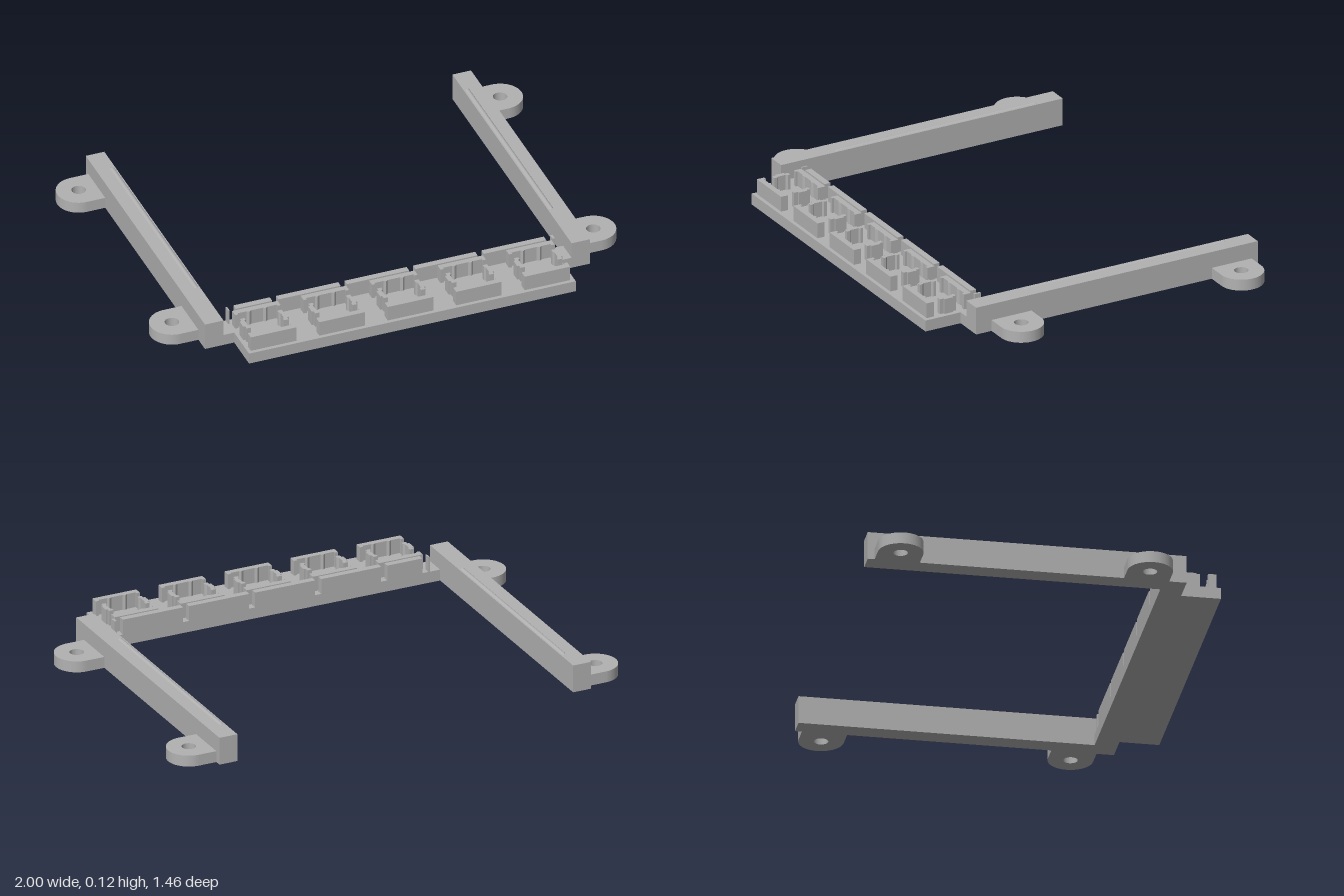
import * as THREE from 'three';

export function createModel() {
  const group = new THREE.Group();
  const grey = new THREE.MeshStandardMaterial({ color: 0xb2b2b2 });
  grey.name = 'plain grey';

  const plateTop = 0.048, clipTop = 0.113, railTop = 0.118;

  function add(name, geometry, parent = group) {
    const mesh = new THREE.Mesh(geometry, grey);
    mesh.name = name;
    parent.add(mesh);
    return mesh;
  }

  // Box given by its limits on each axis
  function block(name, x0, x1, y0, y1, z0, z1) {
    const mesh = add(name, new THREE.BoxGeometry(x1 - x0, y1 - y0, z1 - z0));
    mesh.position.set((x0 + x1) / 2, (y0 + y1) / 2, (z0 + z1) / 2);
    return mesh;
  }

  // Upright prism from a plan outline; shape y becomes z
  function prism(shape, y0, y1) {
    const geometry = new THREE.ExtrudeGeometry(shape, { depth: y1 - y0, bevelEnabled: false, curveSegments: 24 });
    geometry.rotateX(Math.PI / 2);
    geometry.translate(0, y1, 0);
    return geometry;
  }
  const outline = (points) => new THREE.Shape(points.map(([x, z]) => new THREE.Vector2(x, z)));

  // Mounting ear: half-round tab with a screw hole, pointing to +x
  const ear = new THREE.Shape();
  ear.moveTo(-0.08, -0.092);
  ear.lineTo(0, -0.092);
  ear.absarc(0, 0, 0.092, -Math.PI / 2, Math.PI / 2, false);
  ear.lineTo(-0.08, 0.092);
  ear.closePath();
  const hole = new THREE.Path();
  hole.absarc(0, 0, 0.029, 0, Math.PI * 2, true);
  ear.holes.push(hole);
  const earGeometry = prism(ear, 0, plateTop);

  // Slim rounded rib with pointed ends, half sunk in the rail top
  const ribGeometry = new THREE.LatheGeometry([
    [0, -0.475], [0.0085, -0.462], [0.012, -0.455], [0.012, 0.455], [0.0085, 0.462], [0, 0.475],
  ].map(([r, y]) => new THREE.Vector2(r, y)), 20);
  ribGeometry.rotateX(Math.PI / 2);

  for (const side of [1, -1]) {
    const label = side > 0 ? 'left' : 'right';
    const span = (a, b) => (side > 0 ? [a, b] : [-b, -a]);
    block(label + 'Rail', ...span(0.75, 0.83), 0, railTop, -0.73, 0.568);
    block(label + 'Joint', ...span(0.70, 0.75), 0, plateTop, 0.475, 0.568);
    add(label + 'RailRib', ribGeometry).position.set(side * 0.765, 0.111, -0.153);
    for (const z of [0.405, -0.61]) {
      const tab = add(label + 'MountingEar', earGeometry);
      tab.position.set(side * 0.908, 0, z);
      if (side < 0) tab.rotation.y = Math.PI;
    }
  }

  // Base plate across the front
  block('basePlate', -0.704, 0.704, 0, plateTop, 0.475, 0.73);

  // Slotted wall along the back of the plate
  const wall = [
    [-0.704, -0.698], [-0.671, -0.514], [-0.487, -0.219], [-0.192, 0.076],
    [0.103, 0.371], [0.398, 0.667], [0.694, 0.704],
  ];
  for (const [a, b] of wall) block('wallSegment', a, b, plateTop, clipTop, 0.475, 0.502);

  // Socket clips: long bars front and back, short posts at the sides
  const barGeometry = prism(outline([
    [-0.098, -0.102], [0.098, -0.102], [0.098, -0.069], [0.084, -0.069], [0.084, -0.078],
    [0.045, -0.078], [0.036, -0.072], [0.025, -0.078], [-0.025, -0.078], [-0.036, -0.072],
    [-0.045, -0.078], [-0.084, -0.078], [-0.084, -0.069], [-0.098, -0.069],
  ]), plateTop, clipTop);
  const postGeometry = prism(outline([
    [-0.098, -0.02], [-0.09, -0.02], [-0.09, -0.037], [-0.071, -0.037], [-0.071, -0.025],
    [-0.077, -0.018], [-0.077, 0.018], [-0.071, 0.025], [-0.071, 0.037],
    [-0.09, 0.037], [-0.09, 0.02], [-0.098, 0.02],
  ]), plateTop, clipTop);

  for (let i = 0; i < 5; i++) {
    const socket = new THREE.Group();
    socket.name = 'socket';
    socket.position.set(-0.592 + 0.295 * i, 0, 0.612);
    for (const turn of [0, Math.PI]) {
      add('clipBar', barGeometry, socket).rotation.y = turn;
      add('clipPost', postGeometry, socket).rotation.y = turn;
    }
    group.add(socket);
  }

  return group;
}
